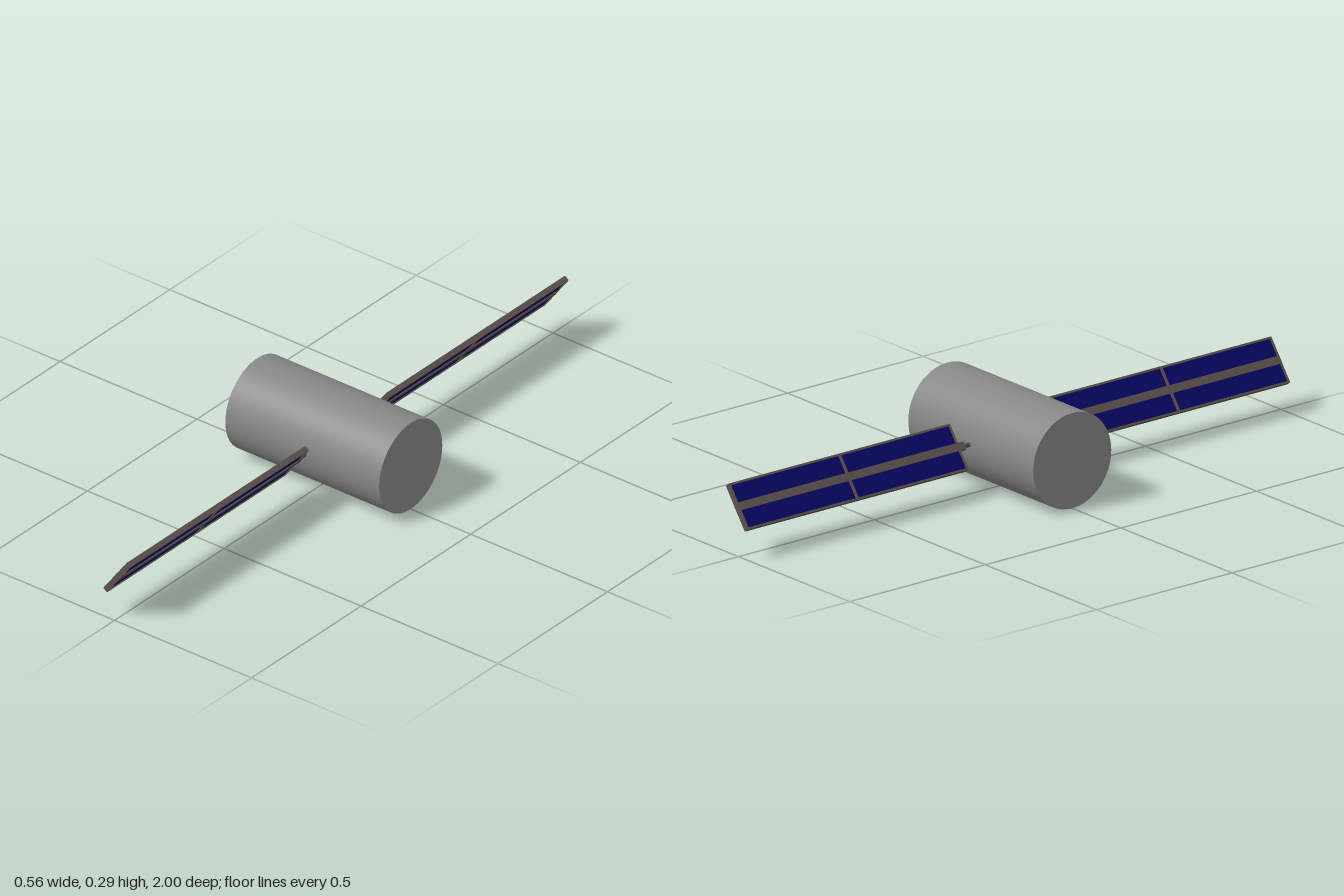
import * as THREE from 'three';

const bodyMat = new THREE.MeshStandardMaterial({ color: 0x878787 });
const frameMat = new THREE.MeshStandardMaterial({ color: 0x5d514e });
const cellMat = new THREE.MeshStandardMaterial({ color: 0x080864 });

const R = 0.144;          // body radius
const WIDTH = 0.144;      // panel width
const THICK = 0.017;      // panel thickness
const Z0 = 0.185, Z1 = 1; // panel span
const RIM = 0.006;        // frame bar width

function box(name, mat, w, h, d, x, y, z) {
  const m = new THREE.Mesh(new THREE.BoxGeometry(w, h, d), mat);
  m.name = name;
  m.position.set(x, y, z);
  return m;
}

// One solar wing lying flat along +z or -z
function makeWing(name, s) {
  const wing = new THREE.Group();
  wing.name = name;
  const mid = s * (Z0 + Z1) / 2, len = Z1 - Z0;

  // Blue cells, slightly recessed between the frame bars
  for (const x of [-1, 1])
    for (const k of [-1, 1])
      wing.add(box('solarCells', cellMat, WIDTH / 2 - 0.004, THICK - 0.006, len / 2 - 0.004,
        x * WIDTH / 4, 0, mid + k * len / 4));

  // Long rims, end bars and middle crossbar
  for (const x of [-1, 1])
    wing.add(box('sideRim', frameMat, RIM, THICK, len, x * (WIDTH - RIM) / 2, 0, mid));
  for (const z of [Z0 + RIM / 2, Z1 - RIM / 2])
    wing.add(box('endBar', frameMat, WIDTH - RIM, THICK, RIM, 0, 0, s * z));
  wing.add(box('crossbar', frameMat, WIDTH - RIM, THICK, 0.009, 0, 0, mid));

  // Central spine reaching past the inner end
  wing.add(box('spine', frameMat, 0.024, THICK + 0.001, Z1 - 0.165, 0, 0, s * (Z1 + 0.165) / 2));

  // Axle into the body
  const axle = new THREE.Mesh(new THREE.CylinderGeometry(0.007, 0.007, 0.06, 12), frameMat);
  axle.name = 'axle';
  axle.rotation.x = Math.PI / 2;
  axle.position.z = s * 0.15;
  wing.add(axle);

  // Tilt the wing about its own axis
  wing.rotation.z = THREE.MathUtils.degToRad(53.7);
  wing.position.set(0.008, 0.146, 0);
  return wing;
}

export function createModel() {
  const model = new THREE.Group();
  model.name = 'satellite';

  // Cylindrical body lying along x
  const body = new THREE.Mesh(new THREE.CylinderGeometry(R, R, 0.562, 64), bodyMat);
  body.name = 'body';
  body.rotation.z = Math.PI / 2;
  body.position.y = R;
  model.add(body);

  model.add(makeWing('frontWing', 1), makeWing('backWing', -1));
  return model;
}
